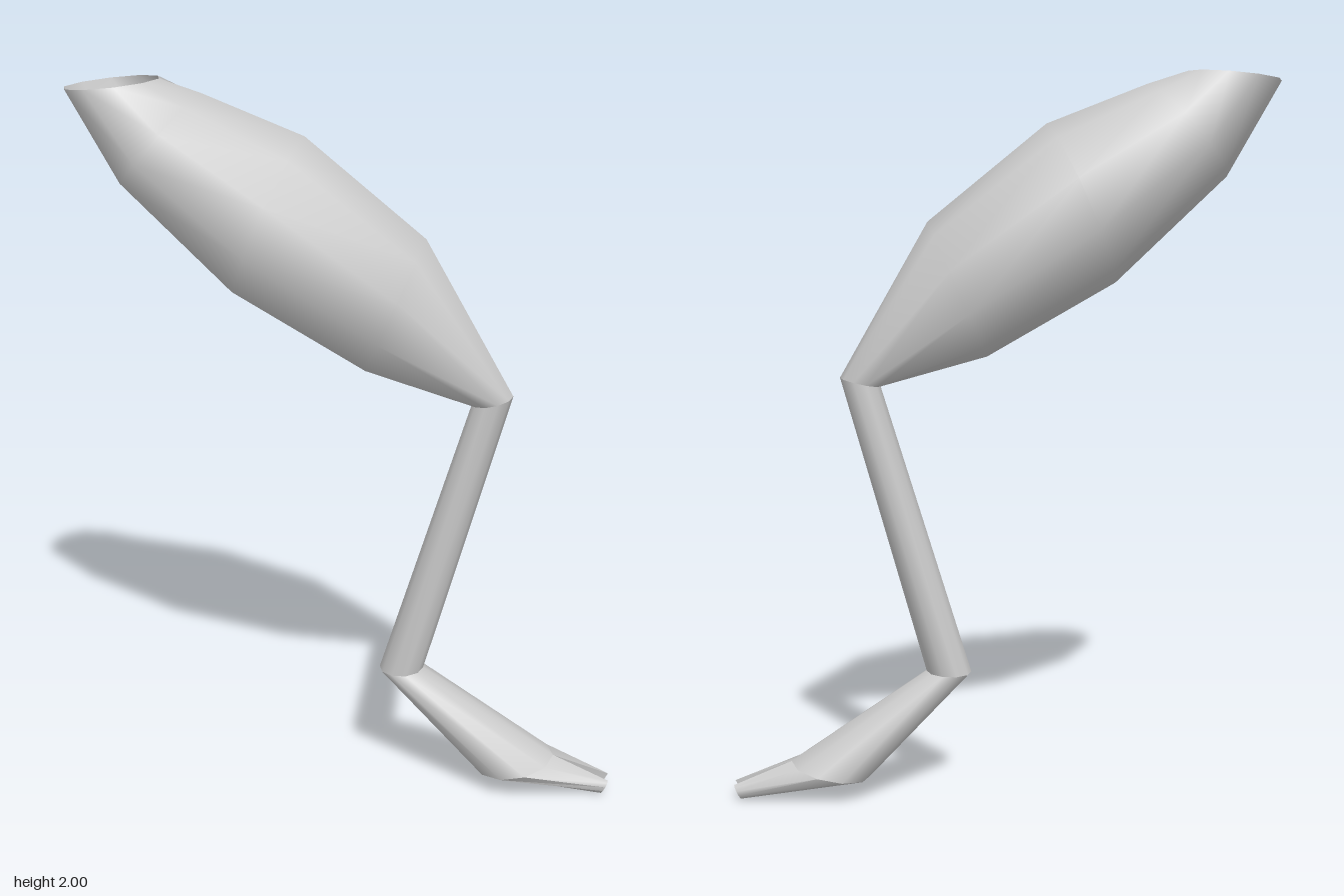
import * as THREE from 'three';
import { toCreasedNormals } from 'three/addons/utils/BufferGeometryUtils.js';

const SIDES = 10;

// Each section: [front x, front y, back x, back y, half width, z offset]
// Points run from angle a0 to a1 around each section; the loop is closed.
function loft(sections, a0, a1, count, closedTurn, cap) {
  const pos = [], idx = [];
  for (const [fx, fy, bx, by, w, z = 0] of sections) {
    for (let k = 0; k < count; k++) {
      const a = a0 + (a1 - a0) * k / (closedTurn ? count : count - 1);
      const c = Math.cos(a) / 2;
      pos.push((fx + bx) / 2 + (fx - bx) * c, (fy + by) / 2 + (fy - by) * c, z + w * Math.sin(a));
    }
  }
  for (let i = 0; i < sections.length - 1; i++) {
    for (let k = 0; k < count; k++) {
      const n = (k + 1) % count;
      const a = i * count + k, b = i * count + n;
      idx.push(a, b, a + count, b, b + count, a + count);
    }
  }
  if (cap) {
    const s = (sections.length - 1) * count;
    for (let k = 1; k < count - 1; k++) idx.push(s, s + k, s + k + 1);
  }
  const g = new THREE.BufferGeometry();
  g.setAttribute('position', new THREE.Float32BufferAttribute(pos, 3));
  g.setIndex(idx);
  g.computeVertexNormals();
  return g;
}

export function createModel() {
  const group = new THREE.Group();
  group.name = 'birdLeg';
  const mat = new THREE.MeshStandardMaterial({ color: 0xcccccc, side: THREE.DoubleSide });
  const add = (name, geometry) => {
    const mesh = new THREE.Mesh(geometry, mat);
    mesh.name = name;
    group.add(mesh);
  };

  const knee = [0.44, 1.18, 0.33, 1.155, 0.064];
  const ankle = [0.21, 0.355, 0.085, 0.35, 0.064];
  const ball = [0.59, 0.1, 0.37, 0.053, 0.115];
  const tube = (sections) => loft(sections, 0, Math.PI * 2, SIDES, true, false);

  // Muscular thigh, open at the hip
  add('thigh', tube([
    [-0.5, 2, -0.755, 1.975, 0.132],
    [-0.39, 1.965, -0.61, 1.72, 0.172],
    [-0.12, 1.86, -0.31, 1.435, 0.236],
    [0.2, 1.6, 0.04, 1.235, 0.198],
    knee,
  ]));

  // Slim shin and widening foot
  add('shin', tube([knee, ankle]));
  add('foot', tube([ankle, ball]));

  // Two pointed toes, each continuing one half of the foot
  for (const s of [1, -1]) {
    const a0 = s > 0 ? 0 : Math.PI;
    const toe = loft(
      [ball, [0.75, 0.04, 0.73, 0, 0.016, 0.02 * s]],
      a0, a0 + Math.PI, SIDES / 2 + 1, false, true);
    add(s > 0 ? 'leftToe' : 'rightToe', toCreasedNormals(toe, 0.9));
  }
  return group;
}
